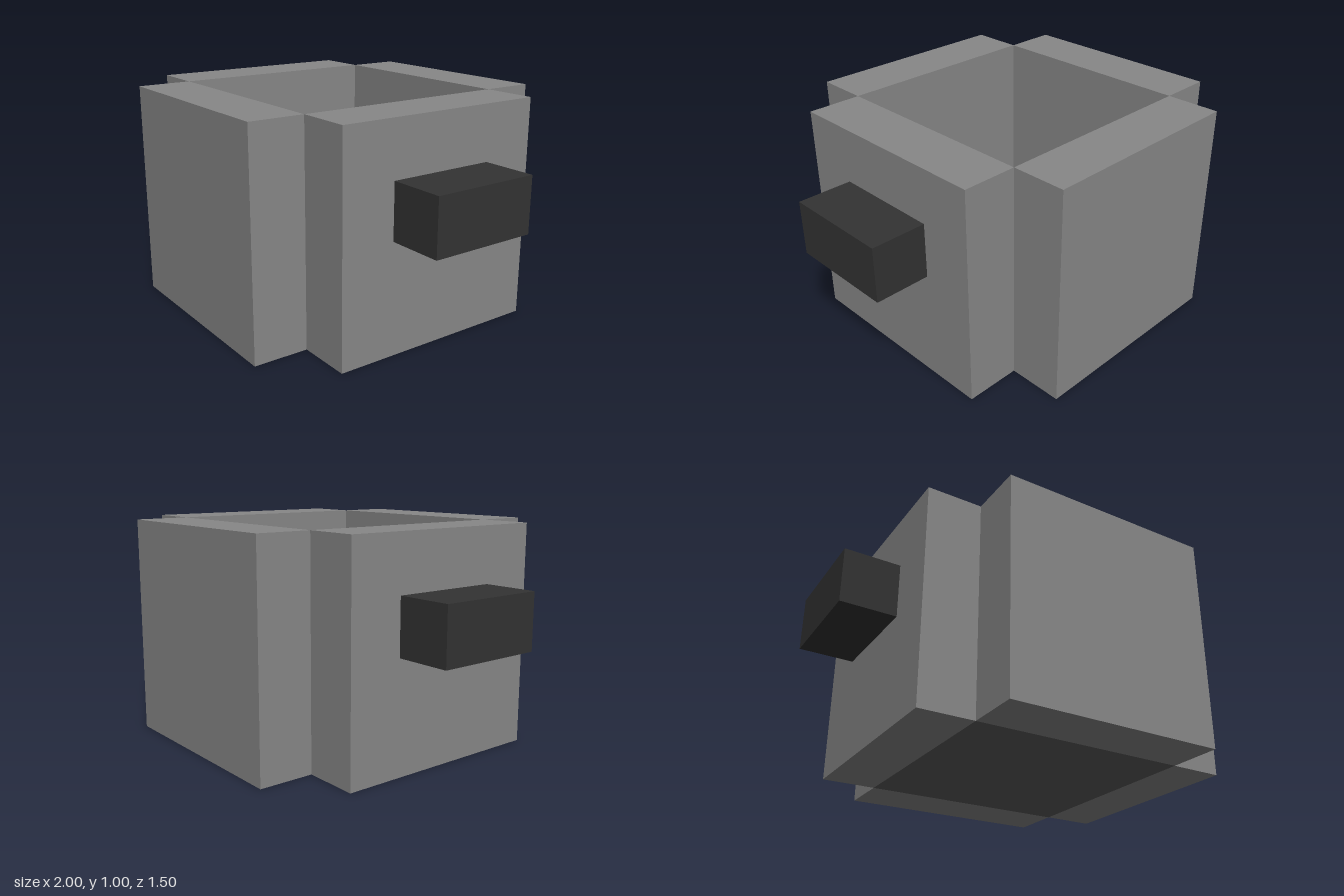
import * as THREE from 'three';

export function createModel() {
  const model = new THREE.Group();
  model.name = 'pot';

  const material = (name, color) => {
    const m = new THREE.MeshStandardMaterial({ color });
    m.name = name;
    return m;
  };
  const wallGrey = material('wall grey', 0x888888);
  const floorGrey = material('floor grey', 0x5c5c5c);
  const handleDark = material('handle dark', 0x333333);

  // Adds a box by its size and centre
  const box = (name, [w, h, d], [x, y, z], mat) => {
    const mesh = new THREE.Mesh(new THREE.BoxGeometry(w, h, d), mat);
    mesh.name = name;
    mesh.position.set(x, y, z);
    model.add(mesh);
  };

  // Floor slab between the walls
  box('floor', [1, 0.25, 1], [0, 0.125, 0], floorGrey);

  // Front and back walls
  for (const [name, s] of [['front', 1], ['back', -1]]) {
    box(`${name}Wall`, [1, 1, 0.25], [0, 0.5, s * 0.625], wallGrey);
  }

  // Side walls, each with a block handle
  for (const [name, s] of [['left', 1], ['right', -1]]) {
    box(`${name}Wall`, [0.25, 1, 1], [s * 0.625, 0.5, 0], wallGrey);
    box(`${name}Handle`, [0.25, 0.25, 0.5], [s * 0.875, 0.625, 0], handleDark);
  }

  return model;
}
